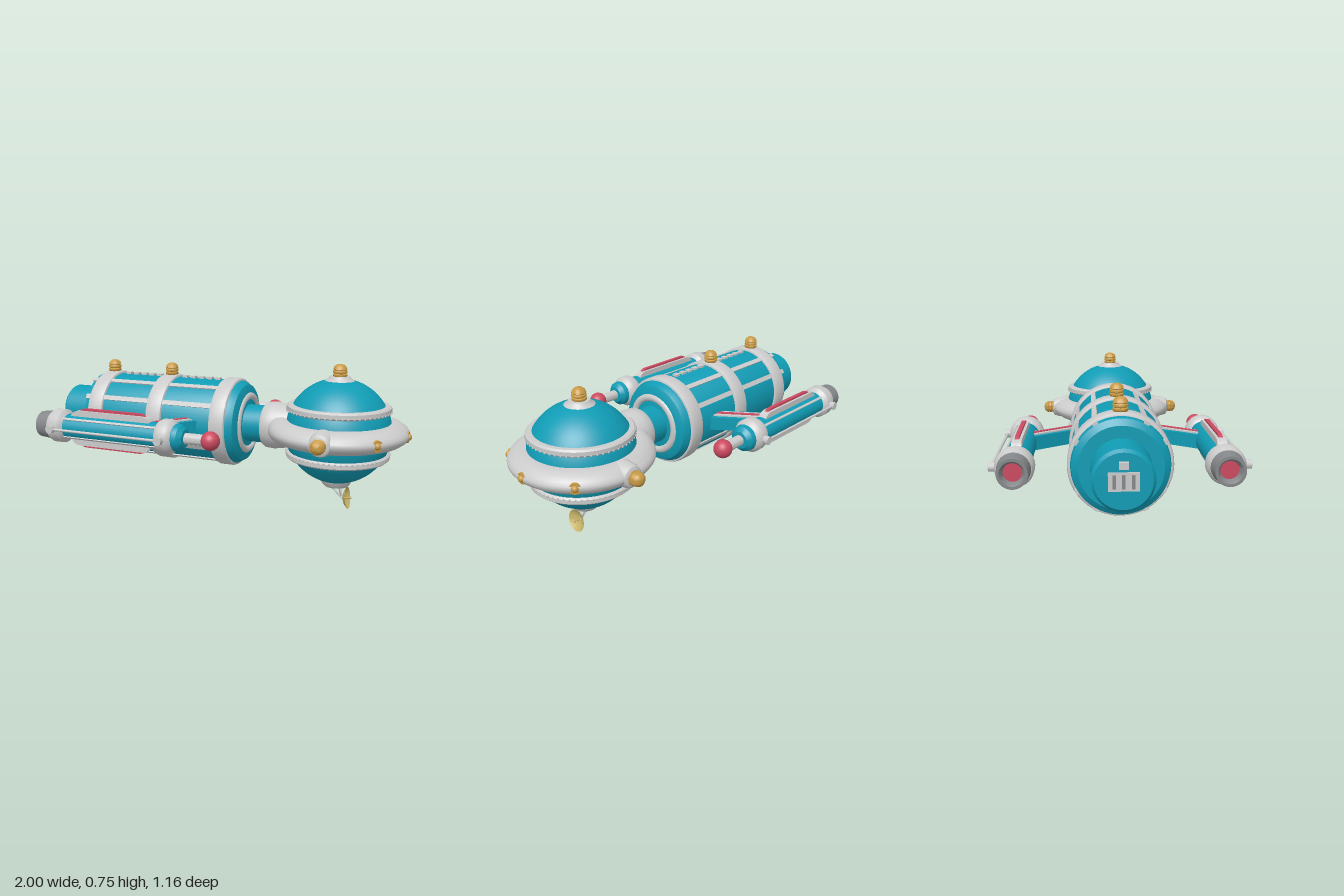
import * as THREE from 'three';
import { toCreasedNormals } from 'three/addons/utils/BufferGeometryUtils.js';

const mat = (color) => new THREE.MeshStandardMaterial({ color });
const Y = 0.42; // height of the main axis

export function createModel() {
  const teal = mat(0x109cb5), grey = mat(0xcccccc), red = mat(0xcc4a60);
  const gold = mat(0xc99a45), dark = mat(0x85888a), brass = mat(0xc8b56a);
  brass.side = THREE.DoubleSide;
  const root = new THREE.Group();
  root.name = 'spaceship';

  const group = (name, parent = root, x = 0, y = 0, z = 0) => {
    const g = new THREE.Group();
    g.name = name;
    g.position.set(x, y, z);
    parent.add(g);
    return g;
  };
  const add = (name, geo, m, parent, x = 0, y = 0, z = 0) => {
    const o = new THREE.Mesh(geo, m);
    o.name = name;
    o.position.set(x, y, z);
    parent.add(o);
    return o;
  };
  // Profiles are [radius, height] pairs, listed from bottom to top
  const lathe = (pts, seg = 48) => toCreasedNormals(
    new THREE.LatheGeometry(pts.map((p) => new THREE.Vector2(...p)), seg), 0.6);
  const latheX = (pts, seg) => lathe(pts, seg).rotateZ(-Math.PI / 2);
  // Raised band with rounded shoulders, lying along x
  const bandX = (r, x0, x1, c = 0.014) => latheX([[r - 0.03, x0], [r - c, x0], [r - c * 0.3, x0 + c * 0.3],
    [r, x0 + c], [r, x1 - c], [r - c * 0.3, x1 - c * 0.3], [r - c, x1], [r - 0.03, x1]]);
  // Cylinder between two points
  const rod = (name, a, b, r, m, parent) => {
    const A = new THREE.Vector3(...a), B = new THREE.Vector3(...b);
    const o = add(name, new THREE.CylinderGeometry(r, r, A.distanceTo(B), 10), m, parent);
    o.position.copy(A).lerp(B, 0.5);
    o.quaternion.setFromUnitVectors(new THREE.Vector3(0, 1, 0), B.sub(A).normalize());
    return o;
  };
  // Ribbed dome lamp pointing up
  const lampGeo = lathe([[0, 0], [0.032, 0], [0.036, 0.006], [0.036, 0.014], [0.03, 0.018], [0.036, 0.022],
    [0.036, 0.032], [0.031, 0.036], [0.035, 0.04], [0.03, 0.053], [0.018, 0.063], [0, 0.067]], 24);
  const lamp = (name, parent, x, y, z) => add(name, lampGeo, gold, parent, x, y, z);

  // Main hull, with its axis along x
  const hull = group('hull', root, 0, Y);
  add('hullBody', latheX([[0, -0.79], [0.19, -0.79], [0.218, -0.77], [0.224, -0.74], [0.224, 0.09],
    [0.205, 0.125], [0.17, 0.14], [0, 0.14]], 64), teal, hull);
  for (const [a, b] of [[-0.745, -0.65], [-0.375, -0.28], [0, 0.09]])
    add('hullBand', bandX(0.238, a, b), grey, hull);
  const frontRing = add('frontRing', new THREE.TorusGeometry(0.145, 0.022, 10, 48), grey, hull, 0.13);
  frontRing.rotation.y = Math.PI / 2;
  for (const base of [30, 60, 120, 150, 210, 240, 300, 330]) {
    const rib = group('hullRib', hull);
    rib.rotation.x = THREE.MathUtils.degToRad(base);
    add('ribStrip', new THREE.BoxGeometry(0.86, 0.026, 0.026), grey, rib, -0.34, 0.217);
  }
  for (let i = 0; i < 10; i++) {
    const x = i < 5 ? -0.6 + i * 0.05 : -0.24 + (i - 5) * 0.05;
    add('spineBlock', new THREE.BoxGeometry(0.03, 0.02, 0.028), grey, hull, x, 0.225);
  }
  lamp('hullLamp', hull, -0.7, 0.236, 0);
  lamp('hullLamp', hull, -0.325, 0.236, 0);

  // Rear engine block
  add('rearDrum', latheX([[0, -0.98], [0.122, -0.98], [0.135, -0.965], [0.135, -0.78]]), teal, hull);
  add('rearPanel', new THREE.BoxGeometry(0.012, 0.08, 0.13), grey, hull, -0.981, 0);
  for (const z of [-0.04, 0, 0.04])
    add('rearPanelSlot', new THREE.BoxGeometry(0.008, 0.06, 0.014), dark, hull, -0.986, 0, z);
  add('rearHandle', new THREE.BoxGeometry(0.022, 0.03, 0.04), grey, hull, -0.989, 0.07);

  // Neck and collar leading to the sphere
  add('neck', latheX([[0.1, 0.12], [0.1, 0.27]]), teal, hull);
  add('collar', latheX([[0.09, 0.24], [0.112, 0.24], [0.122, 0.255], [0.125, 0.3], [0.115, 0.36], [0.1, 0.42]]),
    grey, hull);

  // Forward sphere
  const cabin = group('cabin', root, 0.63, Y);
  add('cabinSphere', new THREE.SphereGeometry(0.27, 64, 40), teal, cabin);
  // Equatorial ring, thicker at its sides and toward the neck
  const ringGeo = new THREE.LatheGeometry([[0.25, -0.056], [0.29, -0.056], [0.32, -0.046], [0.345, -0.028],
    [0.356, -0.012], [0.358, 0], [0.356, 0.012], [0.345, 0.028], [0.32, 0.046], [0.29, 0.056], [0.25, 0.056]]
    .map((p) => new THREE.Vector2(...p)), 96);
  const pos = ringGeo.attributes.position;
  for (let i = 0; i < pos.count; i++) {
    const back = Math.max(0, -pos.getX(i) / 0.36);
    pos.setY(i, pos.getY(i) * (1 + 0.9 * back ** 6));
  }
  ringGeo.computeVertexNormals();
  add('equatorRing', ringGeo, grey, cabin);
  for (const s of [1, -1]) {
    add('latitudeBand', lathe([[0.22, -0.016], [0.254, -0.018], [0.263, -0.01], [0.265, 0], [0.263, 0.01],
      [0.254, 0.018], [0.22, 0.018]], 72), grey, cabin, 0, 0.122 * s, 0);
    for (let i = 0; i < 60; i++) {
      const a = (i / 60) * Math.PI * 2;
      add('rivet', new THREE.SphereGeometry(0.005, 6, 4), grey, cabin,
        Math.cos(a) * 0.263, 0.11 * s, Math.sin(a) * 0.263);
    }
    // Side lamps on their mounts
    const side = group('sideLamp', cabin);
    side.rotation.x = (s * Math.PI) / 2;
    add('lampMount', lathe([[0.065, 0.28], [0.06, 0.33], [0.052, 0.355], [0.04, 0.362], [0, 0.362]], 32), grey, side);
    lamp('lampDome', side, 0, 0.352, 0);
  }
  // Small lamps round the front of the ring
  for (const a of [-45, 0, 45]) {
    const g = group('ringLamp', cabin);
    g.rotation.y = THREE.MathUtils.degToRad(a);
    add('lampSocket', latheX([[0.03, 0.33], [0.028, 0.355], [0, 0.357]], 20), gold, g);
    add('lampBulb', new THREE.SphereGeometry(0.018, 16, 10), gold, g, 0.352);
  }
  add('topCap', lathe([[0.09, 0.25], [0.058, 0.27], [0.052, 0.281], [0, 0.281]], 32), grey, cabin);
  lamp('topLamp', cabin, 0, 0.277, 0);
  add('bottomCap', lathe([[0, -0.292], [0.06, -0.292], [0.072, -0.28], [0.085, -0.25]], 32), grey, cabin);

  // Dish antenna hanging below the sphere, facing forward
  const dish = group('dishAntenna', root, 0.67, 0.065);
  const bowl = group('dishBowl', dish);
  bowl.rotation.z = 0.12;
  add('bowl', latheX([[0, 0], [0.02, 0.002], [0.04, 0.01], [0.058, 0.024]], 32), brass, bowl);
  rod('feed', [0, 0, 0], [0.035, 0, 0], 0.003, brass, bowl);
  add('feedTip', new THREE.SphereGeometry(0.007, 10, 8), brass, bowl, 0.037);
  rod('dishStrut', [-0.085, 0.075, 0], [0.002, -0.005, 0], 0.006, grey, dish);
  for (const z of [0.03, -0.03]) rod('dishStrut', [-0.02, 0.075, z], [-0.01, 0.005, 0], 0.004, grey, dish);

  // Stadium outline for the fins, long along x
  const stadium = (x0, x1, h) => {
    const s = new THREE.Shape(), r = 0.06;
    s.moveTo(x0, -h).lineTo(x0, -h + r / 2).quadraticCurveTo(x0, h, x0 + r, h);
    s.lineTo(x1 - r, h).quadraticCurveTo(x1, h, x1, -h + r / 2).lineTo(x1, -h);
    return s;
  };
  const fin = (x0, x1, h, w) => new THREE.ExtrudeGeometry(stadium(x0, x1, h),
    { depth: w, bevelEnabled: false, curveSegments: 8 }).translate(0, 0, -w / 2);

  for (const s of [1, -1]) {
    // Side engine pod
    const pod = group(s > 0 ? 'frontPod' : 'backPod', root, 0, Y, s * 0.465);
    add('podTube', latheX([[0.066, -0.78], [0.066, -0.06], [0.07, -0.055], [0.066, -0.03], [0.045, -0.008],
      [0, -0.005]], 32), teal, pod);
    add('nozzle', latheX([[0.03, -0.78], [0.045, -0.845], [0.055, -0.86], [0.068, -0.86], [0.076, -0.78]], 32), dark, pod);
    add('nozzleCore', latheX([[0, -0.83], [0.046, -0.83], [0.046, -0.82]], 24), red, pod);
    add('rearCollar', latheX([[0.06, -0.79], [0.078, -0.785], [0.088, -0.765], [0.088, -0.715], [0.075, -0.7],
      [0.06, -0.69]], 32), grey, pod);
    add('frontCollar', latheX([[0.06, -0.155], [0.078, -0.145], [0.088, -0.125], [0.088, -0.085], [0.075, -0.065],
      [0.06, -0.055]], 32), grey, pod);
    add('noseRod', latheX([[0.028, -0.02], [0.028, 0.1]], 20), grey, pod);
    add('noseBall', new THREE.SphereGeometry(0.047, 32, 20), red, pod, 0.125);
    // Upper and lower fins, each with a coloured edge
    for (const up of [0, Math.PI]) {
      const f = group('podFin', pod);
      f.rotation.x = up;
      add('finHousing', fin(-0.67, -0.19, 0.046, 0.046), grey, f, 0, 0.046);
      add('finEdge', fin(-0.64, -0.21, 0.05, 0.02), red, f, 0, 0.053);
    }
    for (const a of [-0.8, 0.8]) {
      const g = group('podRib', pod);
      g.rotation.x = a * s;
      add('ribStrip', new THREE.BoxGeometry(0.58, 0.012, 0.012), grey, g, -0.42, 0, s * 0.065);
    }
    // Outer handrail
    for (const x of [-0.74, -0.105]) rod('railPost', [x, 0, s * 0.07], [x, 0, s * 0.115], 0.022, grey, pod);
    rod('rail', [-0.74, 0, s * 0.102], [-0.105, 0, s * 0.102], 0.007, grey, pod);

    // Swept pylon from hull to pod, built as a sheared box
    const shear = (geo) => {
      const p = geo.attributes.position;
      for (let i = 0; i < p.count; i++) p.setX(i, p.getX(i) - s * p.getZ(i) * 0.72);
      geo.computeVertexNormals();
      return geo;
    };
    const pylon = group('pylon', root, -0.2, Y, s * 0.315);
    add('pylonBody', shear(new THREE.BoxGeometry(0.13, 0.07, 0.24)), teal, pylon);
    add('pylonTrim', shear(new THREE.BoxGeometry(0.075, 0.084, 0.24)), grey, pylon);
    add('pylonStripe', shear(new THREE.BoxGeometry(0.025, 0.092, 0.24)), red, pylon);
  }
  return root;
}
